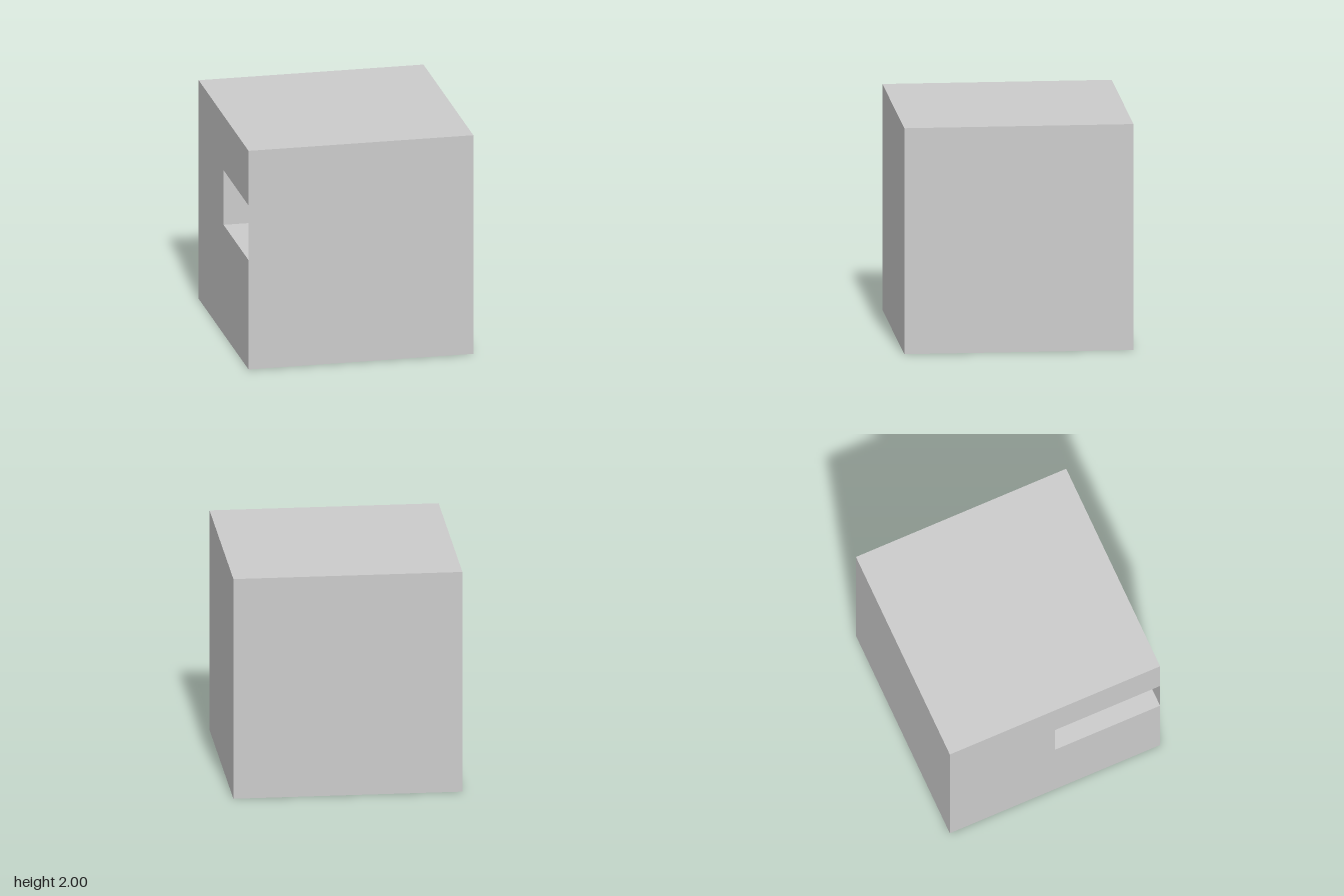
import * as THREE from 'three';

const material = new THREE.MeshStandardMaterial({ color: 0xcccccc, flatShading: true });
const toShape = (points) => new THREE.Shape(points.map(([x, y]) => new THREE.Vector2(x, y)));

function addMesh(parent, geometry, name) {
  const mesh = new THREE.Mesh(geometry, material);
  mesh.name = name;
  parent.add(mesh);
  return mesh;
}

// Inward-facing walls of a pocket sunk behind a counter-clockwise outline
function pocketWalls(outline, depth) {
  const positions = [];
  outline.forEach(([ax, ay], i) => {
    const [bx, by] = outline[(i + 1) % outline.length];
    positions.push(
      ax, ay, 0, bx, by, 0, bx, by, -depth,
      ax, ay, 0, bx, by, -depth, ax, ay, -depth
    );
  });
  const geometry = new THREE.BufferGeometry();
  geometry.setAttribute('position', new THREE.Float32BufferAttribute(positions, 3));
  geometry.computeVertexNormals();
  return geometry;
}

// A pocket: side walls plus the end that closes it
function addPocket(parent, outline, depth, name) {
  addMesh(parent, pocketWalls(outline, depth), name + 'Walls');
  addMesh(parent, new THREE.ShapeGeometry(toShape(outline)), name + 'End').position.z = -depth;
}

export function createModel() {
  const model = new THREE.Group();
  model.name = 'cutCube';

  // Plain faces: position, then rotation about x and y
  const plainFaces = [
    ['frontFace', [0, 1, 1], 0, 0],
    ['backFace', [0, 1, -1], 0, Math.PI],
    ['leftFace', [1, 1, 0], 0, Math.PI / 2],
    ['topFace', [0, 2, 0], -Math.PI / 2, 0],
  ];
  for (const [name, position, rx, ry] of plainFaces) {
    const face = addMesh(model, new THREE.PlaneGeometry(2, 2), name);
    face.position.set(...position);
    face.rotation.set(rx, ry, 0);
  }

  // Right side, with a slot running to the back of the front face
  const rightSide = new THREE.Group();
  rightSide.name = 'rightSide';
  rightSide.position.set(-1, 1, 0);
  rightSide.rotation.y = -Math.PI / 2;
  const rightOutline = [[-1, -1], [1, -1], [1, 0], [0, 0], [0, 0.5], [1, 0.5], [1, 1], [-1, 1]];
  addMesh(rightSide, new THREE.ShapeGeometry(toShape(rightOutline)), 'rightFace');
  addPocket(rightSide, [[0, 0], [1, 0], [1, 0.5], [0, 0.5]], 1, 'slot');
  model.add(rightSide);

  // Underside, with an L-shaped recess
  const underside = new THREE.Group();
  underside.name = 'underside';
  underside.rotation.x = Math.PI / 2;
  const recess = [[-0.5, -0.5], [0, -0.5], [0, 0], [0.5, 0], [0.5, 0.5], [-0.5, 0.5]];
  const bottom = toShape([[-1, -1], [1, -1], [1, 1], [-1, 1]]);
  bottom.holes.push(toShape(recess));
  addMesh(underside, new THREE.ShapeGeometry(bottom), 'bottomFace');
  addPocket(underside, recess, 1, 'recess');
  model.add(underside);

  return model;
}
